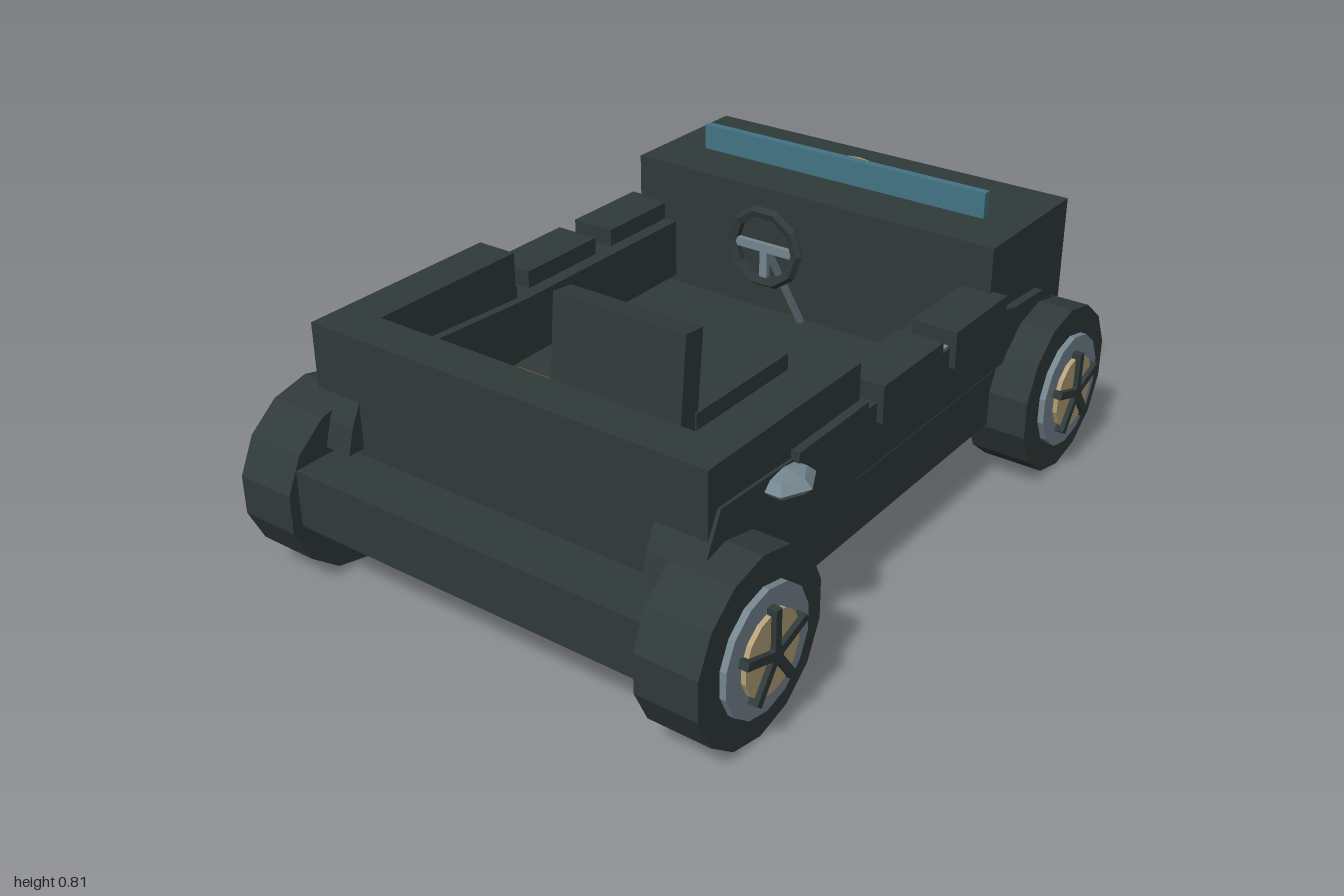
import * as THREE from 'three';

const mat = (name, color) => {
  const m = new THREE.MeshStandardMaterial({ color });
  m.name = name;
  return m;
};

export function createModel() {
  const car = new THREE.Group();
  car.name = 'openCar';
  const dark = mat('dark body', 0x303a39);
  const steel = mat('blue grey metal', 0x74868f);
  const tan = mat('tan', 0xb5a179);
  const brown = mat('brown leather', 0x6b4a37);
  const glass = mat('teal glass', 0x437485);
  const lamp = mat('lamp', 0xb9c0c0);

  // Faceted mesh
  const add = (name, geo, material, parent = car) => {
    const g = geo.index ? geo.toNonIndexed() : geo;
    g.computeVertexNormals();
    const m = new THREE.Mesh(g, material);
    m.name = name;
    parent.add(m);
    return m;
  };
  // Box from its extents
  const box = (name, [x0, x1], [y0, y1], [z0, z1], material, parent) => {
    const m = add(name, new THREE.BoxGeometry(x1 - x0, y1 - y0, z1 - z0), material, parent);
    m.position.set((x0 + x1) / 2, (y0 + y1) / 2, (z0 + z1) / 2);
    return m;
  };

  // Chassis, bonnet and tail
  box('chassis', [-0.6, 0.6], [0.2, 0.36], [-0.97, 0.965], dark);
  box('bonnet', [-0.59, 0.59], [0.36, 0.735], [-0.935, -0.495], dark);
  box('tailWall', [-0.6, 0.6], [0.36, 0.69], [0.69, 0.81], dark);
  box('rearFloor', [-0.455, 0.455], [0.36, 0.37], [0.23, 0.69], brown);

  // Side panels with fenders, and the raised rails above them
  const profile = [[0.86, 0.38], [0.84, 0.45], [0.775, 0.58], [0.5, 0.57], [0.2, 0.555], [-0.5, 0.555],
    [-0.6, 0.53], [-0.77, 0.52], [-0.83, 0.485], [-0.88, 0.38]];
  const sideShape = new THREE.Shape(profile.map(([z, y]) => new THREE.Vector2(-z, y)));
  for (const s of [-1, 1]) {
    const side = s < 0 ? 'right' : 'left';
    const span = (a, b) => (s > 0 ? [a, b] : [-b, -a]);
    const panel = add(side + 'SidePanel',
      new THREE.ExtrudeGeometry(sideShape, { depth: 0.155, bevelEnabled: false }), dark);
    panel.rotation.y = Math.PI / 2;
    panel.position.x = s > 0 ? 0.46 : -0.615;
    box(side + 'FrontRail', span(0.5, 0.633), [0.5, 0.605], [-0.51, -0.235], dark);
    box(side + 'MiddleRail', span(0.5, 0.633), [0.5, 0.605], [-0.165, 0.125], dark);
    box(side + 'RearRail', span(0.485, 0.63), [0.5, 0.59], [0.19, 0.49], dark);
    box(side + 'RearWall', span(0.485, 0.606), [0.36, 0.69], [0.195, 0.81], dark);
    box(side + 'Headlamp', span(0.33, 0.5), [0.55, 0.625], [-0.96, -0.935], lamp);
  }
  box('rightSillTrim', [-0.615, -0.57], [0.548, 0.558], [-0.24, 0.195], brown);
  box('leftSillLatch', [0.575, 0.61], [0.55, 0.562], [-0.235, -0.165], steel);

  // Lamp plate on one flank, tapered pod on the other
  box('rightFlankPlate', [-0.665, -0.605], [0.505, 0.575], [0.46, 0.67], steel);
  const pod = add('leftFlankPod', new THREE.SphereGeometry(1, 6, 4), steel);
  pod.scale.set(0.075, 0.03, 0.085);
  pod.position.set(0.62, 0.54, 0.535);

  // Grille
  box('grille', [-0.3, 0.3], [0.38, 0.52], [-0.972, -0.935], dark);
  for (let i = -2; i <= 2; i++)
    box('grilleSlat', [i * 0.1 - 0.01, i * 0.1 + 0.01], [0.4, 0.51], [-0.985, -0.972], steel);

  // Windscreen and bonnet cap
  box('windscreen', [-0.47, 0.47], [0.735, 0.81], [-0.685, -0.66], glass);
  const cap = add('bonnetCap', new THREE.LatheGeometry(
    [[0.09, 0], [0.11, 0.012], [0.06, 0.042], [0, 0.055]].map(p => new THREE.Vector2(...p)), 10), tan);
  cap.scale.z = 0.68;
  cap.position.set(0, 0.733, -0.735);

  // Seat
  box('seatCushion', [-0.215, 0.215], [0.385, 0.48], [-0.09, 0.32], dark);
  const back = box('seatBack', [-0.21, 0.21], [0.39, 0.71], [0.3, 0.37], dark);
  back.rotation.x = -0.1;
  box('seatBackPad', [-0.165, 0.165], [0.47, 0.67], [0.265, 0.31], dark).rotation.x = -0.1;

  // Steering wheel and column
  const steering = new THREE.Group();
  steering.name = 'steeringWheel';
  steering.position.set(0, 0.66, -0.29);
  car.add(steering);
  add('steeringRim', new THREE.TorusGeometry(0.105, 0.017, 5, 10), dark, steering);
  box('steeringSpoke', [-0.1, 0.1], [-0.012, 0.012], [-0.008, 0.008], steel, steering);
  box('steeringLowerSpoke', [-0.012, 0.012], [-0.1, 0], [-0.008, 0.008], steel, steering);
  const top = new THREE.Vector3(0, 0.66, -0.295), foot = new THREE.Vector3(0, 0.36, -0.48);
  const column = add('steeringColumn', new THREE.CylinderGeometry(0.012, 0.012, top.distanceTo(foot), 6), steel);
  column.position.copy(top).add(foot).multiplyScalar(0.5);
  column.quaternion.setFromUnitVectors(new THREE.Vector3(0, 1, 0), top.clone().sub(foot).normalize());

  // Wheels, built with the axle along local z
  const disc = (name, r, z0, z1, sides, material, parent) => {
    const g = new THREE.CylinderGeometry(r, r, z1 - z0, sides).rotateX(Math.PI / 2);
    g.translate(0, 0, (z0 + z1) / 2);
    return add(name, g, material, parent);
  };
  for (const s of [-1, 1]) for (const z of [-0.757, 0.757]) {
    const wheel = new THREE.Group();
    wheel.name = (z < 0 ? 'bonnetEnd' : 'tailEnd') + (s < 0 ? 'Right' : 'Left') + 'Wheel';
    disc('tyre', 0.245, -0.0875, 0.0875, 14, dark, wheel);
    disc('rim', 0.165, 0.08, 0.105, 14, steel, wheel);
    disc('hubPlate', 0.108, 0.1, 0.118, 14, tan, wheel);
    disc('hub', 0.025, 0.11, 0.132, 8, dark, wheel);
    for (let i = 0; i < 5; i++) {
      const spoke = new THREE.BoxGeometry(0.022, 0.122, 0.026);
      spoke.translate(0, 0.061, 0.119).rotateZ(i * Math.PI * 0.4);
      add('spoke', spoke, dark, wheel);
    }
    wheel.position.set(s * 0.628, 0.245, z);
    wheel.rotation.y = s * Math.PI / 2;
    car.add(wheel);
  }
  return car;
}
